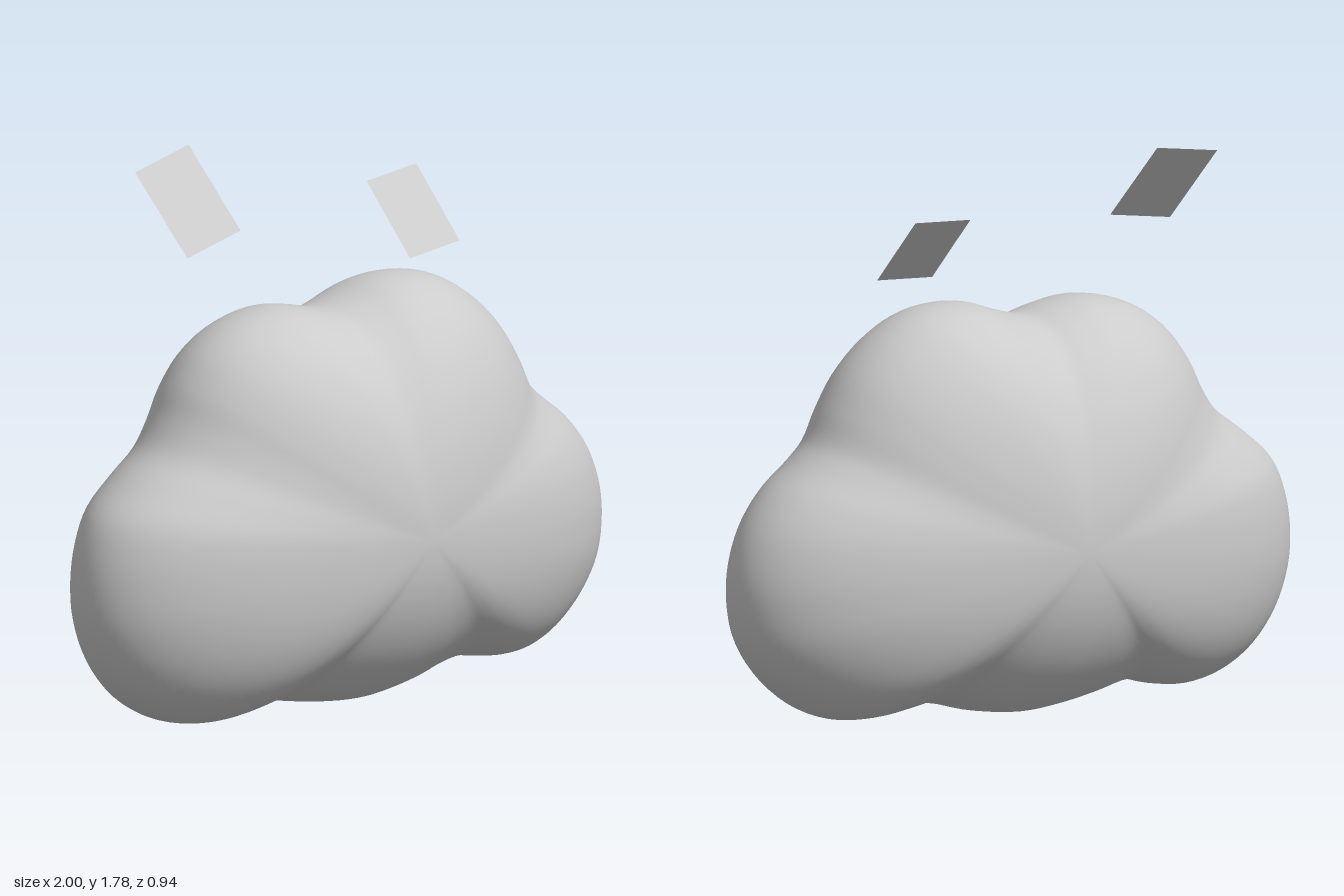
import * as THREE from 'three';
import { ParametricGeometry } from 'three/addons/geometries/ParametricGeometry.js';
import { mergeVertices } from 'three/addons/utils/BufferGeometryUtils.js';

// Lobed cloud outline, clockwise from the -x tip
const OUTLINE = [
  [-1, 0.47], [-0.98, 0.6], [-0.93, 0.71], [-0.82, 0.81], [-0.72, 0.89], [-0.66, 0.98],
  [-0.61, 1.08], [-0.53, 1.18], [-0.42, 1.25], [-0.27, 1.285], [-0.15, 1.27], [-0.06, 1.25],
  [0.04, 1.275], [0.14, 1.31], [0.24, 1.32], [0.36, 1.3], [0.48, 1.235], [0.58, 1.14],
  [0.65, 1.03], [0.7, 0.93], [0.76, 0.87], [0.86, 0.79], [0.94, 0.69], [0.985, 0.58],
  [1, 0.47], [0.98, 0.33], [0.91, 0.21], [0.8, 0.11], [0.69, 0.06], [0.59, 0.05],
  [0.5, 0.06], [0.4, 0.075], [0.3, 0.06], [0.2, 0.03], [0.1, 0.01], [0, 0],
  [-0.13, 0.01], [-0.25, 0.03], [-0.38, 0.055], [-0.48, 0.03], [-0.6, 0.015], [-0.73, 0.04],
  [-0.85, 0.11], [-0.94, 0.22], [-0.99, 0.35],
];
const CENTRE_Y = 0.58;
const HALF_DEPTH = 0.47;

// Inflate the outline: it shrinks elliptically to a point at front and back
function cloudGeometry() {
  const curve = new THREE.CatmullRomCurve3(
    OUTLINE.map(([x, y]) => new THREE.Vector3(x, y - CENTRE_Y, 0)), true);
  const geometry = new ParametricGeometry((u, v, target) => {
    const angle = v * Math.PI;
    curve.getPoint(u % 1, target).multiplyScalar(Math.sin(angle));
    target.y += CENTRE_Y;
    target.z = HALF_DEPTH * Math.cos(angle);
  }, 180, 64);
  // Weld the seam and both poles so the shading stays smooth
  geometry.deleteAttribute('uv');
  geometry.deleteAttribute('normal');
  const welded = mergeVertices(geometry, 1e-4);
  welded.computeVertexNormals();
  return welded;
}

// Flat tilted card given by its centre and its two edge vectors
function card(name, centre, across, up, material) {
  const u = new THREE.Vector3(...across);
  const v = new THREE.Vector3(...up);
  const n = u.clone().cross(v).normalize();
  const geometry = new THREE.PlaneGeometry(1, 1);
  geometry.applyMatrix4(new THREE.Matrix4().makeBasis(u, v, n).setPosition(...centre));
  geometry.computeVertexNormals();
  const mesh = new THREE.Mesh(geometry, material);
  mesh.name = name;
  return mesh;
}

export function createModel() {
  const group = new THREE.Group();
  group.name = 'cloudWithCards';

  const cloud = new THREE.Mesh(cloudGeometry(), new THREE.MeshStandardMaterial({ color: 0xcccccc }));
  cloud.name = 'cloud';

  // Two thin cards floating above the cloud
  const thin = new THREE.MeshStandardMaterial({ color: 0xcccccc, side: THREE.DoubleSide });
  group.add(
    cloud,
    card('rightCard', [-0.5, 1.635, -0.118], [0.245, 0.045, -0.035], [-0.045, 0.245, -0.198], thin),
    card('leftCard', [0.314, 1.5, -0.003], [0.217, 0.02, -0.02], [-0.02, 0.215, -0.186], thin),
  );
  return group;
}
